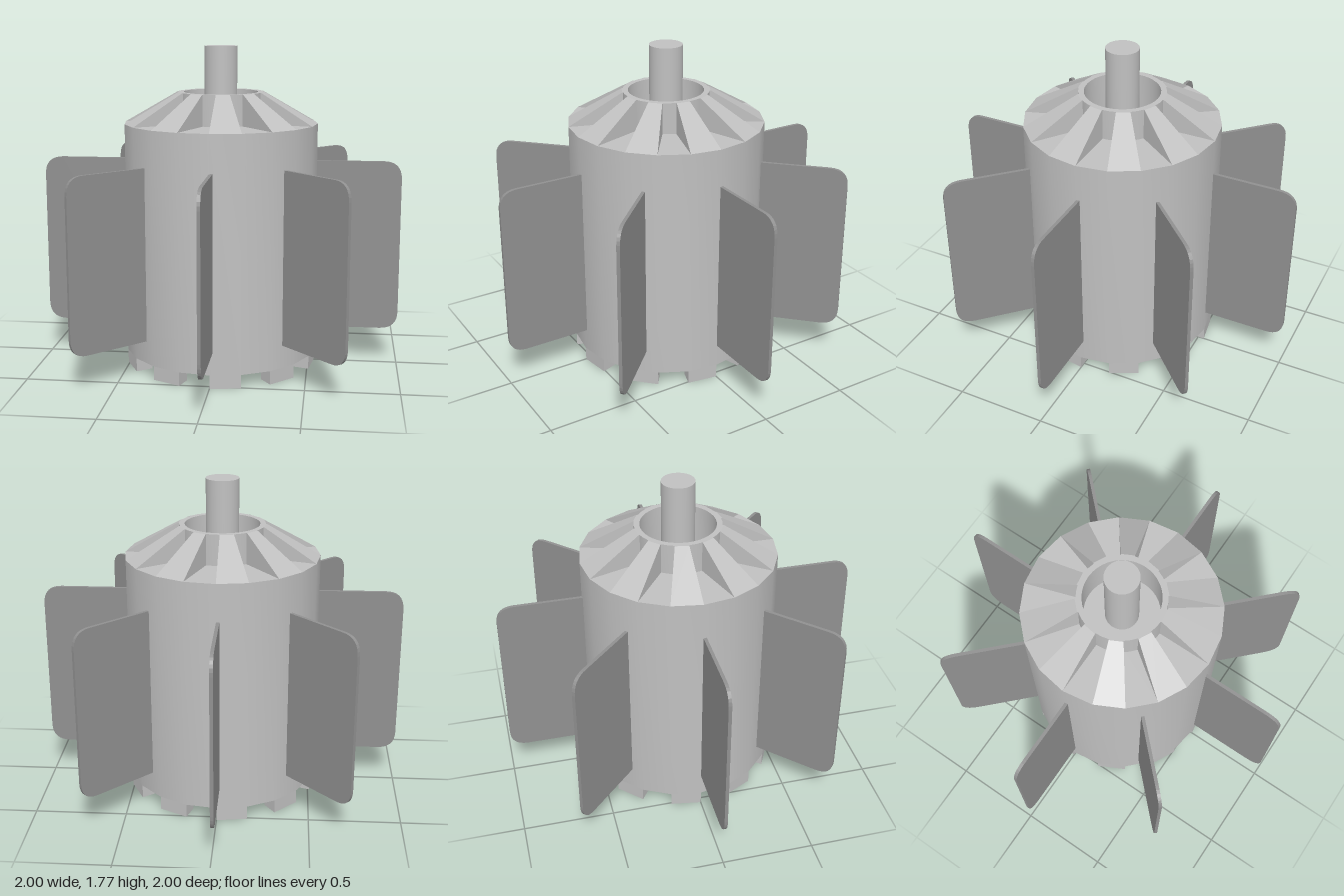
import * as THREE from 'three';
import { toCreasedNormals } from 'three/addons/utils/BufferGeometryUtils.js';

const STEP = Math.PI / 10; // the body has 20 sides, teeth and ribs use every other one

// Revolves an [r, y] profile, keeping its corners sharp
function revolve(profile, segments) {
  const points = profile.map(([r, y]) => new THREE.Vector2(r, y));
  return toCreasedNormals(new THREE.LatheGeometry(points, segments), 0.5);
}

// Solid sector: a convex counter-clockwise [r, y] section swept over one side of the body
function sector(section) {
  const at = (angle) => section.map(([r, y]) => [r * Math.sin(angle), y, r * Math.cos(angle)]);
  const a = at(0), b = at(STEP), n = section.length, out = [];
  for (let i = 0; i < n; i++) {
    const j = (i + 1) % n;
    out.push(a[i], b[i], b[j], a[i], b[j], a[j]);
    if (i > 0 && i < n - 1) out.push(a[0], a[i], a[i + 1], b[0], b[i + 1], b[i]);
  }
  const geometry = new THREE.BufferGeometry();
  geometry.setAttribute('position', new THREE.Float32BufferAttribute(out.flat(), 3));
  geometry.computeVertexNormals();
  return geometry;
}

// Flat plate with rounded outer corners, lying beside the radial plane
function finGeometry() {
  const inner = 0.39, outer = 1, low = 0.2, high = 1.15, c = 0.1, thick = 0.018;
  const s = new THREE.Shape();
  s.moveTo(inner, low);
  s.lineTo(outer - c, low);
  s.quadraticCurveTo(outer, low, outer, low + c);
  s.lineTo(outer, high - c);
  s.quadraticCurveTo(outer, high, outer - c, high);
  s.lineTo(inner, high);
  s.closePath();
  const geometry = new THREE.ExtrudeGeometry(s, { depth: thick, bevelEnabled: false, curveSegments: 8 });
  return geometry.translate(0, 0, -thick).rotateY(-Math.PI / 2);
}

export function createModel() {
  const steel = new THREE.MeshStandardMaterial({ color: 0xc0c0c0 });
  steel.name = 'light steel';
  const darkSteel = new THREE.MeshStandardMaterial({ color: 0x909090 });
  darkSteel.name = 'dark steel';

  const model = new THREE.Group();
  model.name = 'finnedRotor';
  const add = (name, geometry, material, angle = 0) => {
    const mesh = new THREE.Mesh(geometry, material);
    mesh.name = name;
    mesh.rotation.y = angle;
    model.add(mesh);
  };

  // Hollow body, open at the bottom
  add('body', revolve([
    [0, 1.25], [0.44, 1.25], [0.44, 0.075], [0.535, 0.075], [0.535, 1.355], [0.22, 1.355],
  ], 20), steel);

  // Collar with a recess around the shaft
  add('collar', revolve([
    [0.235, 1.355], [0.235, 1.525], [0.205, 1.525], [0.205, 1.3], [0, 1.3],
  ], 40), steel);

  // Central shaft
  add('shaft', new THREE.CylinderGeometry(0.09, 0.09, 0.5, 32).translate(0, 1.525, 0), steel);

  // Teeth on the lower rim and sloping ribs on the shoulder
  const tooth = sector([[0.44, 0], [0.535, 0], [0.535, 0.075], [0.44, 0.075]]);
  const rib = sector([[0.215, 1.355], [0.535, 1.355], [0.24, 1.525], [0.215, 1.525]]);
  for (let i = 0; i < 10; i++) {
    add('tooth', tooth, steel, i * 2 * STEP);
    add('rib', rib, steel, i * 2 * STEP);
  }

  // Eight radial fins passing through the wall
  const fin = finGeometry();
  for (let i = 0; i < 8; i++) add('fin', fin, darkSteel, i * Math.PI / 4);

  return model;
}
